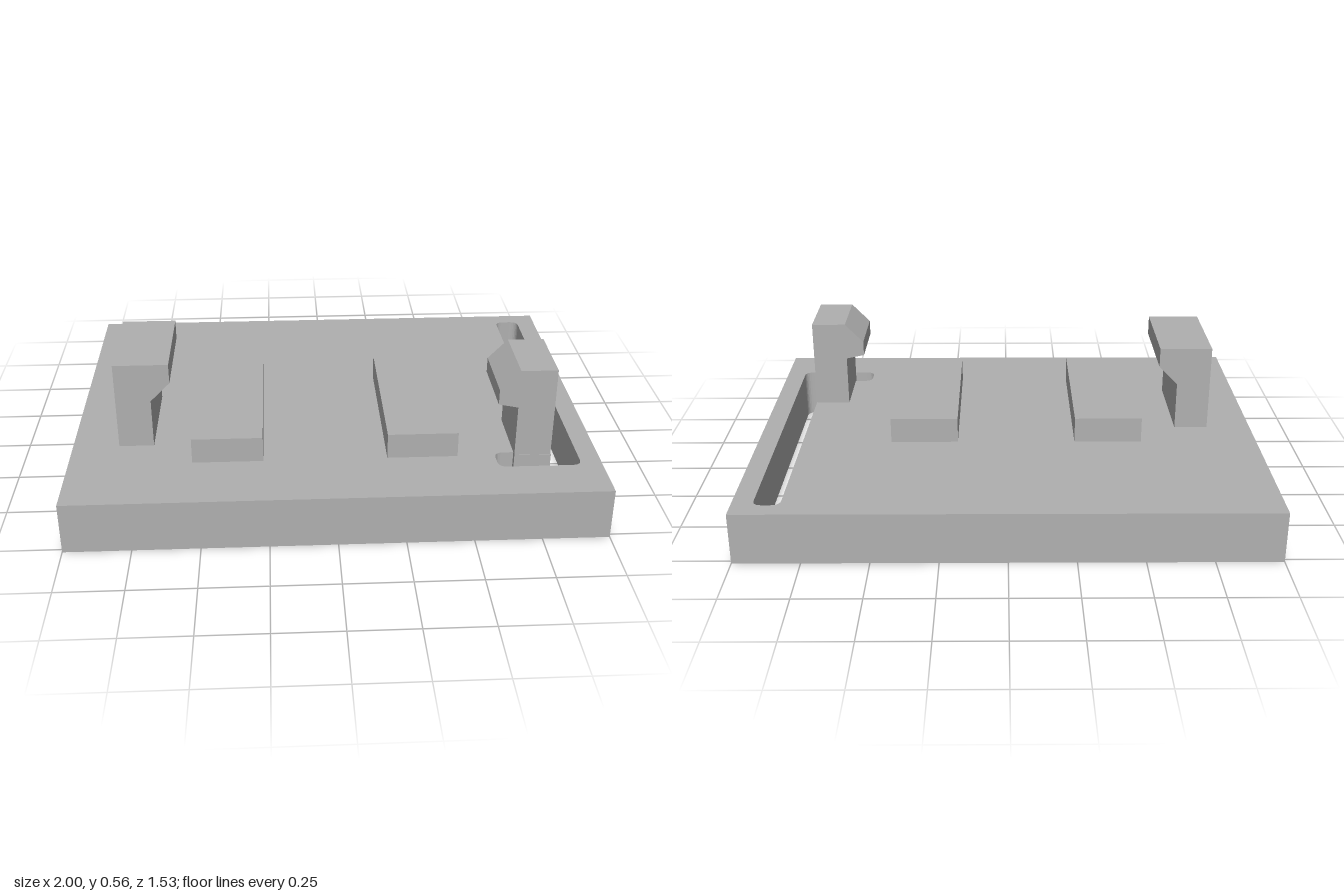
import * as THREE from 'three';

// Closed path from [x, y, radius] corners; a zero radius keeps the corner sharp
function tracePath(path, corners) {
  const n = corners.length;
  const toward = (a, b, d) => {
    const p = new THREE.Vector2(a[0], a[1]);
    const q = new THREE.Vector2(b[0], b[1]);
    return p.add(q.sub(p).setLength(d));
  };
  corners.forEach((c, i) => {
    const r = c[2] || 0;
    const start = r ? toward(c, corners[(i + n - 1) % n], r) : new THREE.Vector2(c[0], c[1]);
    if (i === 0) path.moveTo(start.x, start.y);
    else path.lineTo(start.x, start.y);
    if (r) {
      const end = toward(c, corners[(i + 1) % n], r);
      path.quadraticCurveTo(c[0], c[1], end.x, end.y);
    }
  });
  path.closePath();
  return path;
}

export function createModel() {
  const model = new THREE.Group();
  model.name = 'clipPlate';
  const grey = new THREE.MeshStandardMaterial({ color: 0xb0b0b0 });
  grey.name = 'grey';

  const add = (name, geometry) => {
    const mesh = new THREE.Mesh(geometry, grey);
    mesh.name = name;
    model.add(mesh);
    return mesh;
  };

  // Base plate, drawn in x and z, with an L-shaped slot cut right through
  const plate = tracePath(new THREE.Shape(), [
    [-1, -0.767], [1, -0.767], [1, 0.767], [-1, 0.767],
  ]);
  plate.holes.push(tracePath(new THREE.Path(), [
    [0.822, -0.697, 0.035], [0.922, -0.697, 0.035], [0.922, 0.582, 0.035], [0.608, 0.582, 0.035],
    [0.608, 0.48, 0.035], [0.682, 0.48], [0.682, 0.502], [0.822, 0.502],
  ]));
  const plateGeometry = new THREE.ExtrudeGeometry(plate, { depth: 0.2, bevelEnabled: false, curveSegments: 6 });
  plateGeometry.rotateX(Math.PI / 2).translate(0, 0.2, 0);
  add('basePlate', plateGeometry);

  // Two low support blocks
  [['rightSupportBlock', -0.403], ['leftSupportBlock', 0.332]].forEach(([name, x]) => {
    add(name, new THREE.BoxGeometry(0.267, 0.1, 0.665)).position.set(x, 0.25, 0.1655);
  });

  // Hooks: a side profile extruded along z
  const addHook = (name, profile, back, front) => {
    const geometry = new THREE.ExtrudeGeometry(tracePath(new THREE.Shape(), profile), {
      depth: front - back, bevelEnabled: false,
    });
    add(name, geometry.translate(0, 0, back));
  };
  addHook('rightFixedHook', [
    [-0.823, 0.2], [-0.69, 0.2], [-0.69, 0.393], [-0.615, 0.468], [-0.615, 0.545], [-0.823, 0.545],
  ], -0.032, 0.363);
  addHook('leftSpringHook', [
    [0.682, 0.2], [0.82, 0.2], [0.82, 0.557], [0.682, 0.557],
    [0.608, 0.48], [0.608, 0.42], [0.682, 0.405],
  ], 0.232, 0.5);

  return model;
}
